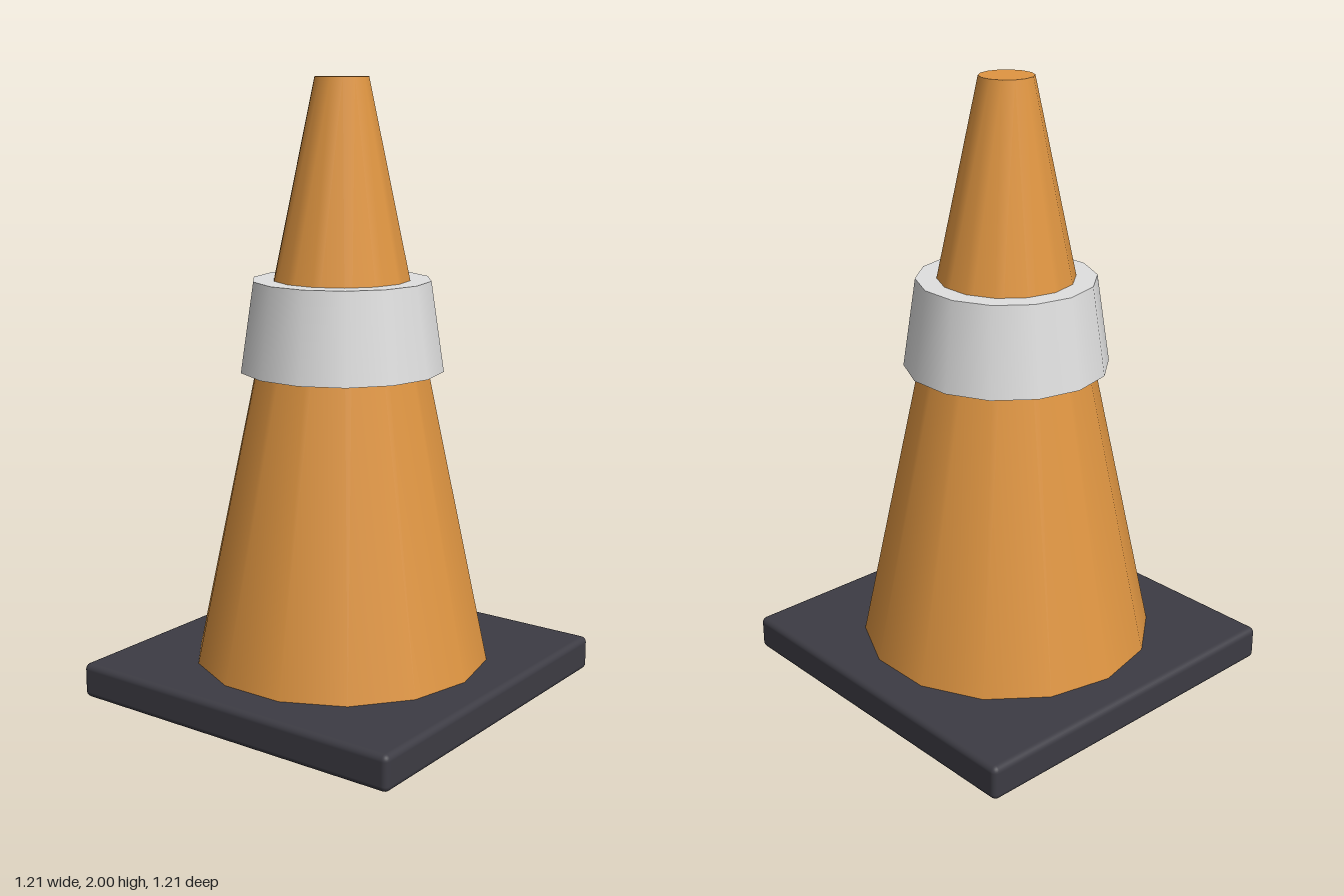
import * as THREE from 'three';
import { RoundedBoxGeometry } from 'three/addons/geometries/RoundedBoxGeometry.js';

const SIDES = 14;

function material(name, color) {
  const m = new THREE.MeshStandardMaterial({ color });
  m.name = name;
  return m;
}

// Tapered prism standing between two heights
function taper(name, rTop, rBottom, y0, y1, mat) {
  const mesh = new THREE.Mesh(new THREE.CylinderGeometry(rTop, rBottom, y1 - y0, SIDES), mat);
  mesh.name = name;
  mesh.position.y = (y0 + y1) / 2;
  return mesh;
}

export function createModel() {
  const orange = material('orange plastic', 0xe09642);
  const white = material('pale grey band', 0xe0e0e0);
  const dark = material('dark rubber', 0x3d3c44);

  const group = new THREE.Group();
  group.name = 'trafficCone';

  // Square foot with softened edges
  const base = new THREE.Mesh(new RoundedBoxGeometry(1.21, 0.115, 1.21, 3, 0.02), dark);
  base.name = 'base';
  base.position.y = 0.0575;

  group.add(
    base,
    taper('coneBody', 0.087, 0.493, 0.08, 2, orange),
    // Raised collar around the body
    taper('reflectiveBand', 0.289, 0.332, 1.075, 1.365, white),
  );
  return group;
}
